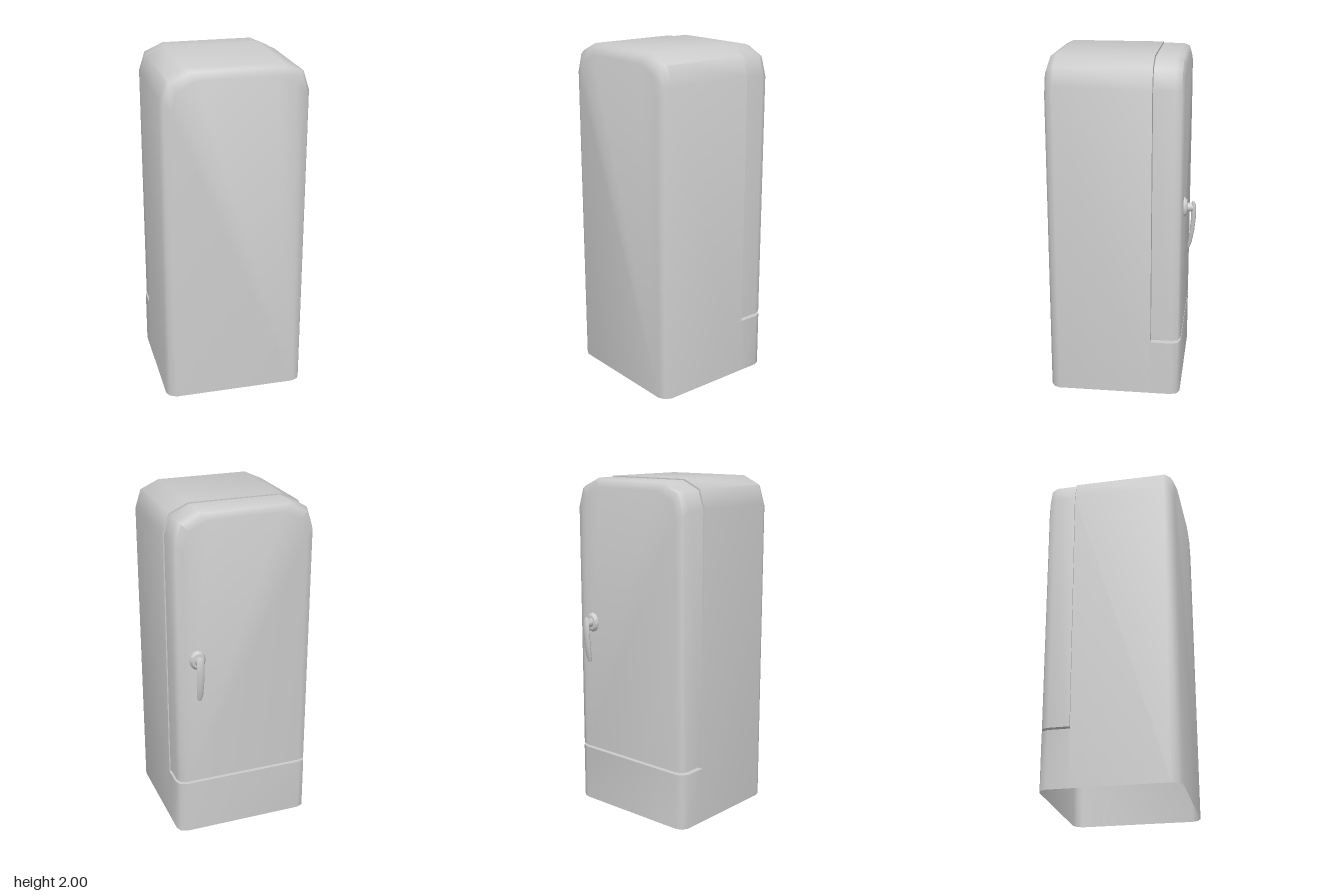
import * as THREE from 'three';
import { toCreasedNormals } from 'three/addons/utils/BufferGeometryUtils.js';

const material = new THREE.MeshStandardMaterial({ color: 0xcccccc, side: THREE.DoubleSide });

// Skins a row of matching cross-sections; each ring is a list of [x, y, z].
function loft(name, rings, { closed = false, capStart = false, capEnd = false } = {}) {
  const pos = [];
  const tri = (a, b, c) => pos.push(...a, ...b, ...c);
  const n = rings[0].length;
  for (let k = 0; k < rings.length - 1; k++) {
    for (let i = 0; i < (closed ? n : n - 1); i++) {
      const j = (i + 1) % n;
      const a = rings[k][i], b = rings[k][j], c = rings[k + 1][i], d = rings[k + 1][j];
      tri(a, c, b);
      tri(b, c, d);
    }
  }
  const first = rings[0], last = rings[rings.length - 1];
  for (let i = 1; i < n - 1; i++) {
    if (capStart) tri(first[0], first[i], first[i + 1]);
    if (capEnd) tri(last[0], last[i + 1], last[i]);
  }
  const geometry = new THREE.BufferGeometry();
  geometry.setAttribute('position', new THREE.Float32BufferAttribute(pos, 3));
  const mesh = new THREE.Mesh(toCreasedNormals(geometry, 0.95), material);
  mesh.name = name;
  return mesh;
}

// Round-shouldered upright outline at depth z, pulled in at the sides and top.
function arch(z, inset, bottom) {
  const half = [[0.42, bottom], [0.42, 1.84], [0.385, 1.95], [0.275, 2]]
    .map(([x, y]) => [x - inset, y === bottom ? y : y - inset, z]);
  return [...half, ...half.map(([x, y, zz]) => [-x, y, zz]).reverse()];
}

export function createModel() {
  const group = new THREE.Group();
  const seam = -0.18, ledge = 0.335;

  // Cabinet shell, open underneath
  group.add(loft('cabinet', [
    arch(0.425, 0.055, 0), arch(0.405, 0.016, 0), arch(0.37, 0, 0), arch(seam, 0, 0),
  ], { capStart: true }));
  group.add(loft('cabinetBack', [arch(seam, 0, ledge)], { capEnd: true }));

  // Plinth below the door
  const halfPlan = [[0.42, seam], [0.42, -0.305], [0.404, -0.34], [0.365, -0.355]];
  const plan = [...halfPlan, ...halfPlan.map(([x, z]) => [-x, z]).reverse()];
  group.add(loft('plinth', [ledge, 0].map((y) => plan.map(([x, z]) => [x, y, z])), { capStart: true }));

  // Door with softened outer edge
  group.add(loft('door', [
    arch(seam - 0.004, 0.006, 0.35), arch(-0.305, 0.006, 0.35),
    arch(-0.34, 0.018, 0.35), arch(-0.355, 0.057, 0.35),
  ], { closed: true, capStart: true, capEnd: true }));

  // Handle: oval rosette, neck and drooping lever
  const handle = new THREE.Group();
  handle.name = 'handle';
  const profile = [[0.048, 0], [0.048, 0.006], [0.036, 0.02], [0.022, 0.022], [0.022, 0.055]]
    .map(([r, h]) => new THREE.Vector2(r, h));
  const rosette = new THREE.Mesh(
    toCreasedNormals(new THREE.LatheGeometry(profile, 12).toNonIndexed(), 0.7), material);
  rosette.name = 'rosetteAndNeck';
  rosette.rotation.x = -Math.PI / 2;
  rosette.scale.z = 1.22;
  rosette.position.set(0.29, 1.14, -0.354);
  handle.add(rosette);

  // Lever stations: y, z, half width, half thickness
  const stations = [
    [1.176, -0.408, 0.012, 0.007], [1.16, -0.41, 0.021, 0.013], [1.08, -0.411, 0.023, 0.014],
    [1.0, -0.404, 0.021, 0.013], [0.93, -0.393, 0.019, 0.011], [0.9, -0.386, 0.011, 0.007],
  ];
  handle.add(loft('lever', stations.map(([y, z, w, t]) =>
    Array.from({ length: 8 }, (_, i) => {
      const a = (i / 8) * Math.PI * 2;
      return [0.29 + w * Math.cos(a), y, z - t * Math.sin(a)];
    })), { closed: true, capStart: true, capEnd: true }));
  group.add(handle);

  return group;
}
